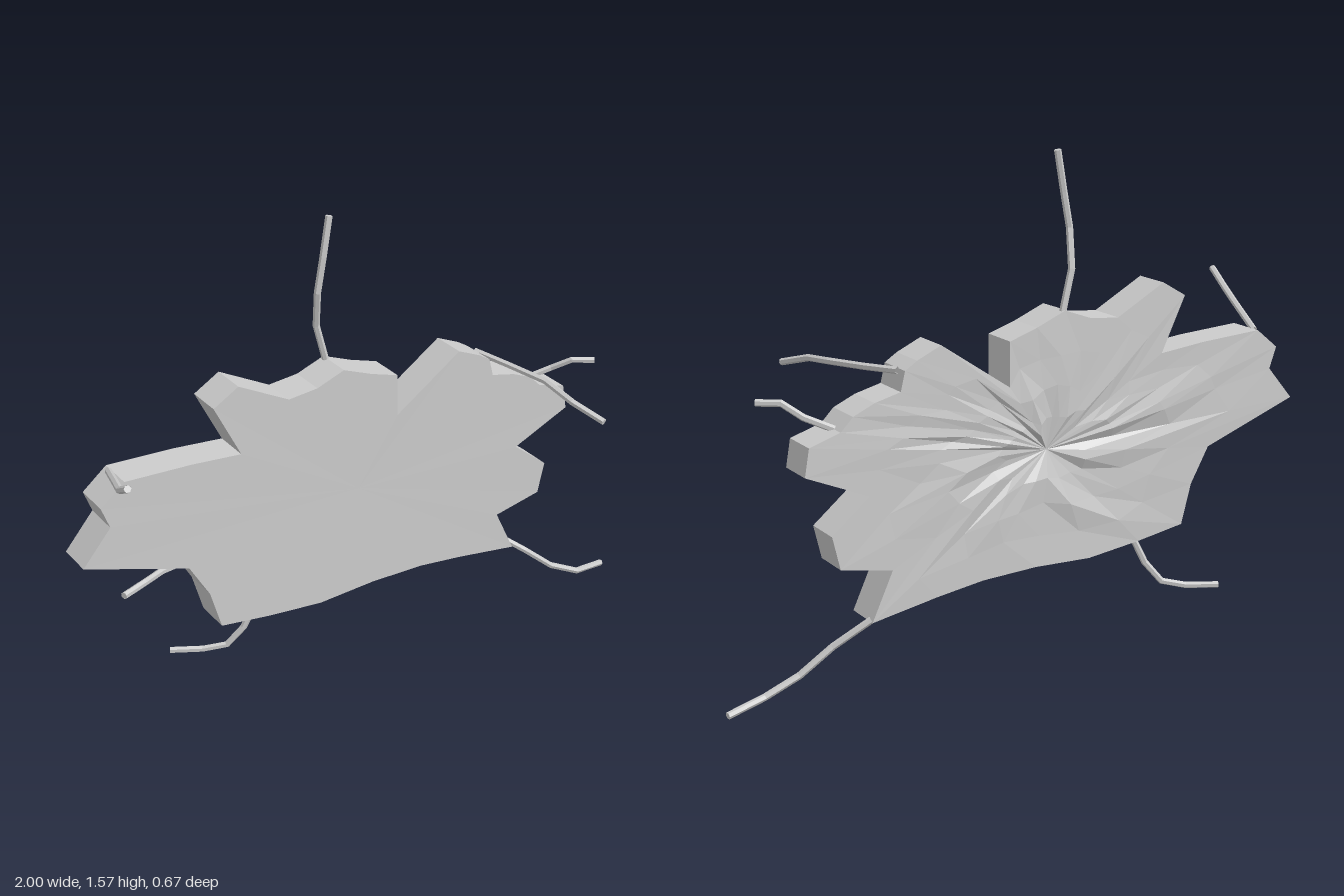
import * as THREE from 'three';

const material = new THREE.MeshStandardMaterial({ color: 0xcccccc, flatShading: true, side: THREE.DoubleSide });

// Jagged outline of the splat, counter-clockwise seen from the front
const outline = [
  [0.57, 0.235], [0.5, 0.385], [0.67, 0.42], [0.695, 0.525], [0.57, 0.625], [0.775, 0.715],
  [0.76, 0.8], [0.66, 0.83], [0.62, 0.87], [0.55, 0.9], [0.465, 0.92], [0.45, 0.98],
  [0.41, 1.005], [0.33, 1.04], [0.095, 0.88], [0.095, 1.02], [0, 1.05], [-0.1, 1.09],
  [-0.195, 1.055], [-0.295, 1.045], [-0.465, 1.135], [-0.55, 1.085], [-0.465, 0.91], [-0.63, 0.925],
  [-0.85, 0.935], [-0.93, 0.87], [-0.905, 0.8], [-1, 0.69], [-0.66, 0.575], [-0.595, 0.46],
  [-0.56, 0.33], [-0.39, 0.305], [-0.2, 0.285], [0, 0.295], [0.19, 0.29], [0.35, 0.27],
];
const center = [-0.05, 0.66];

function makeRandom(seed) {
  return () => (seed = (seed * 16807) % 2147483647) / 2147483647;
}

// Rings run from the front centre, over the rim, to the dimpled back centre
function slabGeometry() {
  const random = makeRandom(71);
  const rings = [ // scale, z, roughness in z, roughness in scale
    [0, -0.108, 0, 0], [1, -0.105, 0, 0], [1, -0.225, 0, 0],
    [0.72, -0.225, 0.004, 0.08], [0.48, -0.226, 0.009, 0.08], [0.24, -0.222, 0.01, 0.06], [0, -0.203, 0, 0],
  ];
  const n = outline.length;
  const positions = [];
  const index = [];
  rings.forEach(([scale, z, roughZ, roughScale], r) => {
    outline.forEach(([x, y], i) => {
      const s = scale + (random() - 0.5) * roughScale;
      positions.push(center[0] + (x - center[0]) * s, center[1] + (y - center[1]) * s, z + (random() * 2 - 1) * roughZ);
      if (r === 0) return;
      const j = (i + 1) % n;
      const a = (r - 1) * n + i, b = r * n + i, c = r * n + j, d = (r - 1) * n + j;
      if (scale > 0) index.push(a, b, c);
      if (r > 1) index.push(a, c, d);
    });
  });
  const geometry = new THREE.BufferGeometry();
  geometry.setAttribute('position', new THREE.Float32BufferAttribute(positions, 3));
  geometry.setIndex(index);
  const flat = geometry.toNonIndexed();
  flat.computeVertexNormals();
  return flat;
}

// Thin bent strands growing out of the rim
const tendrils = {
  topTendril: [[-0.1, 1.08, -0.21], [-0.135, 1.21, -0.205], [-0.145, 1.33, -0.177], [-0.125, 1.44, -0.174], [-0.1, 1.565, -0.177]],
  lowerLeftTendril: [[0.565, 0.24, -0.21], [0.67, 0.16, -0.16], [0.765, 0.08, -0.13], [0.87, 0.03, -0.112], [0.997, 0.01, -0.132]],
  lowerRightTendril: [[-0.39, 0.31, -0.19], [-0.43, 0.22, -0.207], [-0.478, 0.155, -0.235], [-0.545, 0.14, -0.275], [-0.637, 0.14, -0.327]],
  middleRightTendril: [[-0.65, 0.575, -0.15], [-0.75, 0.595, -0.11], [-0.83, 0.61, -0.06], [-0.915, 0.612, -0.025]],
  upperRightTendril: [[-0.855, 0.93, -0.2], [-0.91, 0.985, -0.03], [-0.94, 1.015, 0.06], [-0.955, 1.065, 0.147]],
  upperLeftTendril: [[0.455, 0.975, -0.19], [0.495, 0.965, -0.065], [0.535, 0.955, 0.08], [0.537, 0.937, 0.215], [0.575, 0.905, 0.325]],
  sideLeftTendril: [[0.65, 0.825, -0.18], [0.73, 0.863, -0.135], [0.775, 0.9, -0.085], [0.835, 0.9, -0.042]],
};

function tendril(name, coords, radius = 0.011) {
  const points = coords.map((p) => new THREE.Vector3(...p));
  const curve = new THREE.CatmullRomCurve3(points);
  // Step by control point so each bend stays a crisp kink
  curve.getPointAt = curve.getPoint;
  curve.getTangentAt = curve.getTangent;
  const group = new THREE.Group();
  group.name = name;
  const strand = new THREE.Mesh(new THREE.TubeGeometry(curve, points.length - 1, radius, 6), material);
  strand.name = 'strand';
  const tip = new THREE.Mesh(new THREE.CircleGeometry(radius, 6), material);
  tip.name = 'tip';
  tip.position.copy(points.at(-1));
  tip.lookAt(points.at(-1).clone().add(curve.getTangent(1)));
  group.add(strand, tip);
  return group;
}

export function createModel() {
  const model = new THREE.Group();
  model.name = 'jaggedSplat';
  const slab = new THREE.Mesh(slabGeometry(), material);
  slab.name = 'slab';
  model.add(slab);
  for (const [name, coords] of Object.entries(tendrils)) model.add(tendril(name, coords));
  return model;
}
